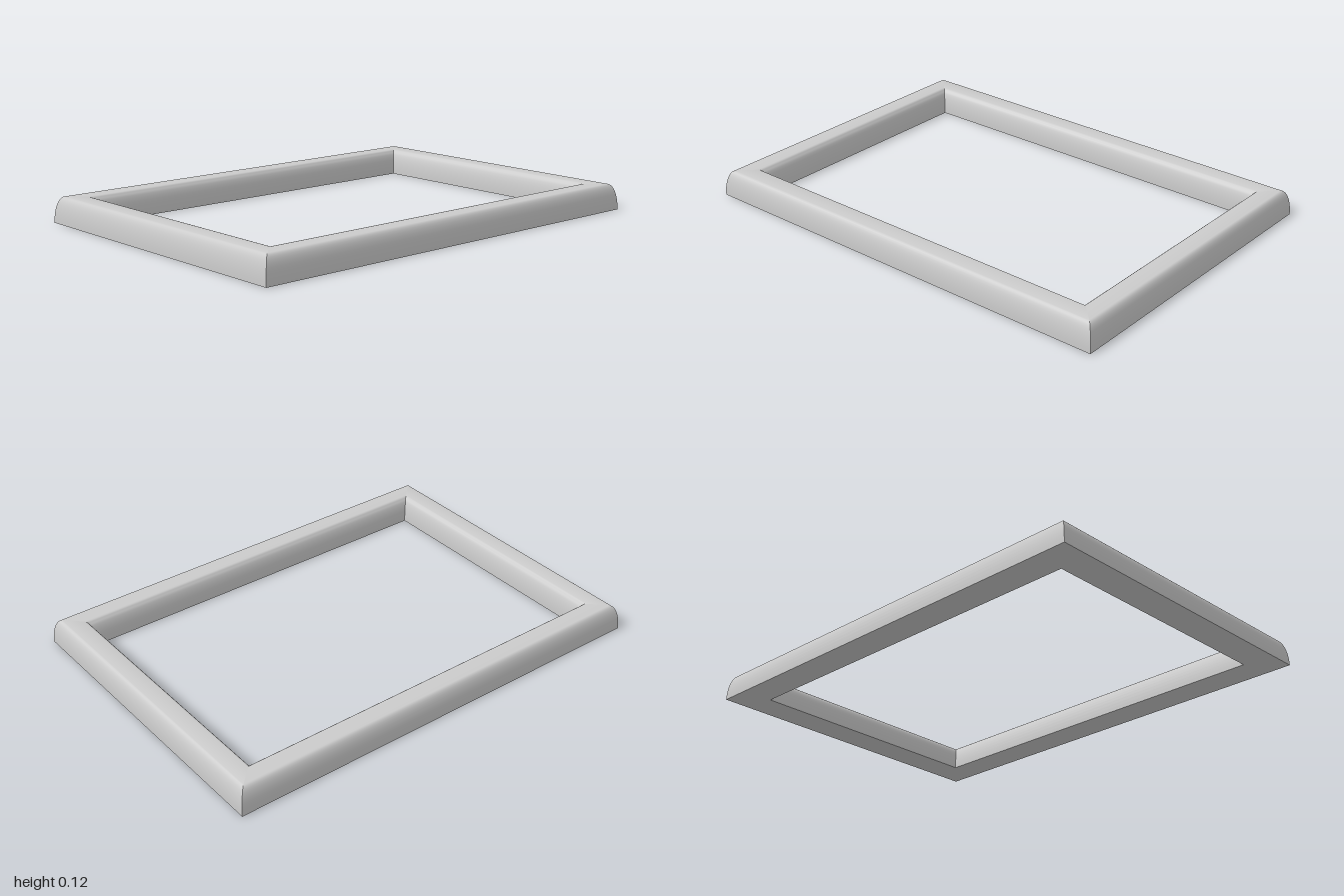
import * as THREE from 'three';
import { toCreasedNormals } from 'three/addons/utils/BufferGeometryUtils.js';

const HALF_X = 0.713, HALF_Z = 1, WIDTH = 0.138, HEIGHT = 0.115, ROUND = 0.035, STEPS = 10;

// Rail cross-section as [inset from outer edge, height]: flat base, elliptical shoulders, flat top
function railProfile() {
  const outer = [];
  for (let i = 0; i <= STEPS; i++) {
    const a = (i / STEPS) * Math.PI / 2;
    outer.push([ROUND * (1 - Math.cos(a)), HEIGHT * Math.sin(a)]);
  }
  const inner = outer.map(([d, y]) => [WIDTH - d, y]).reverse();
  return [...outer, ...inner];
}

// One rail swept between two mitred corners
function railGeometry(profile, start, end) {
  const positions = [], index = [];
  const n = profile.length;
  for (const [d, y] of profile) {
    for (const [sx, sz] of [start, end]) {
      positions.push(sx * (HALF_X - d), y, sz * (HALF_Z - d));
    }
  }
  for (let i = 0; i < n; i++) {
    const a = 2 * i, b = a + 1, c = 2 * ((i + 1) % n), d = c + 1;
    index.push(a, b, d, a, d, c);
  }
  const geometry = new THREE.BufferGeometry();
  geometry.setAttribute('position', new THREE.Float32BufferAttribute(positions, 3));
  geometry.setIndex(index);
  return toCreasedNormals(geometry, 0.7);
}

export function createModel() {
  const frame = new THREE.Group();
  frame.name = 'frame';
  const material = new THREE.MeshStandardMaterial({ color: 0xcccccc });
  const profile = railProfile();
  const corners = [[1, 1], [1, -1], [-1, -1], [-1, 1]];
  const names = ['leftRail', 'backRail', 'rightRail', 'frontRail'];

  // Four rails around the opening
  names.forEach((name, k) => {
    const rail = new THREE.Mesh(railGeometry(profile, corners[k], corners[(k + 1) % 4]), material);
    rail.name = name;
    frame.add(rail);
  });
  return frame;
}
